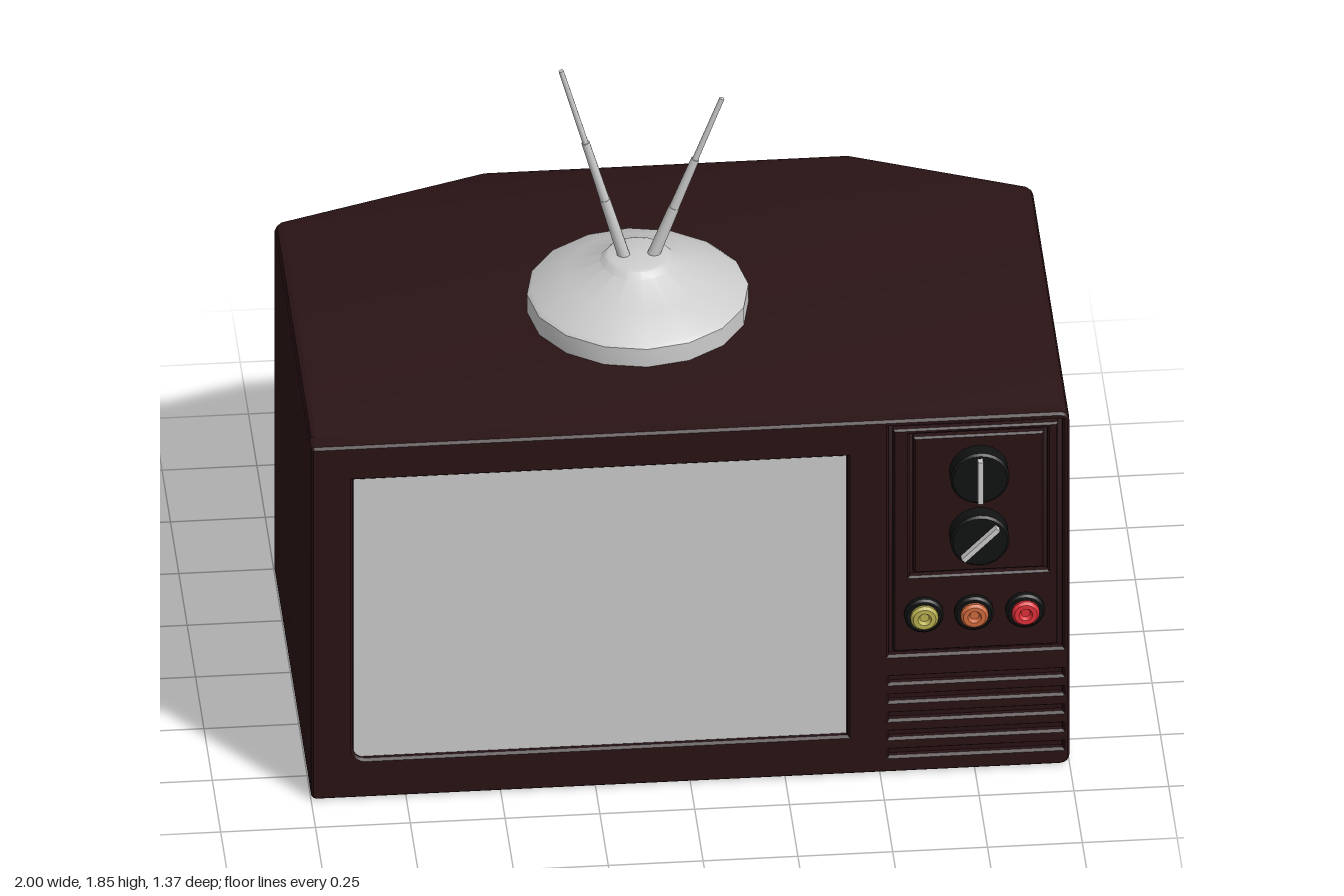
import * as THREE from 'three';
import { toCreasedNormals } from 'three/addons/utils/BufferGeometryUtils.js';

const mat = (color) => new THREE.MeshStandardMaterial({ color });

function add(parent, name, geometry, material, x = 0, y = 0, z = 0) {
  const mesh = new THREE.Mesh(geometry, material);
  mesh.name = name;
  mesh.position.set(x, y, z);
  parent.add(mesh);
  return mesh;
}

// Rectangle with one radius per corner: bottom left, bottom right, top right, top left
function rect(PathType, x0, y0, x1, y1, [bl, br, tr, tl] = [0, 0, 0, 0]) {
  const p = new PathType();
  p.moveTo(x0 + bl, y0);
  p.lineTo(x1 - br, y0);
  if (br) p.quadraticCurveTo(x1, y0, x1, y0 + br);
  p.lineTo(x1, y1 - tr);
  if (tr) p.quadraticCurveTo(x1, y1, x1 - tr, y1);
  p.lineTo(x0 + tl, y1);
  if (tl) p.quadraticCurveTo(x0, y1, x0, y1 - tl);
  p.lineTo(x0, y0 + bl);
  if (bl) p.quadraticCurveTo(x0, y0, x0 + bl, y0);
  return p;
}

// Cabinet: footprint pulled up, with the lower back sloping inwards
function cabinetGeometry() {
  const outline = [[-1, -0.6], [1, -0.6], [1, 0.47], [0.985, 0.49], [0.53, 0.68], [-0.43, 0.68], [-0.985, 0.49], [-1, 0.47]];
  const shape = new THREE.Shape(outline.map(([x, y]) => new THREE.Vector2(x, y)));
  const geo = new THREE.ExtrudeGeometry(shape, {
    depth: 1.06, steps: 2, bevelThickness: 0.02, bevelSize: 0.02, bevelOffset: -0.02, bevelSegments: 2,
  });
  geo.rotateX(-Math.PI / 2).translate(0, 0.02, 0);
  const pos = geo.attributes.position;
  for (let i = 0; i < pos.count; i++) {
    const y = pos.getY(i), z = pos.getZ(i);
    if (z < -0.48 && y < 0.55) pos.setZ(i, -0.48 + (z + 0.48) * (0.7 + 0.3 * y / 0.55));
  }
  return toCreasedNormals(geo, 0.5);
}

// Front plate: screen opening, panel grooves and vent slots are cut through it
function frontGeometry() {
  const shape = rect(THREE.Shape, -1, 0, 1, 1.1, [0.02, 0.03, 0.03, 0.01]);
  shape.holes.push(rect(THREE.Path, -0.89, 0.12, 0.415, 0.995, [0.04, 0, 0, 0]));
  shape.holes.push(rect(THREE.Path, 0.523, 0.365, 0.982, 1.083));
  for (let i = 0; i < 5; i++) {
    const y = 0.06 + i * 0.057;
    shape.holes.push(rect(THREE.Path, 0.525, y - 0.01, 0.982, y + 0.01));
  }
  return toCreasedNormals(new THREE.ExtrudeGeometry(shape, {
    depth: 0.05, bevelThickness: 0.008, bevelSize: 0.006, bevelOffset: -0.006, bevelSegments: 1,
  }).translate(0, 0, 0.562), 0.5);
}

// Raised plate of the control panel, optionally with an opening
function plateGeometry(x0, y0, x1, y1, hole) {
  const shape = rect(THREE.Shape, x0, y0, x1, y1);
  if (hole) shape.holes.push(rect(THREE.Path, ...hole));
  return new THREE.ExtrudeGeometry(shape, {
    depth: 0.014, bevelThickness: 0.006, bevelSize: 0.005, bevelOffset: -0.005, bevelSegments: 1,
  }).translate(0, 0, 0.6);
}

// Turned part from a radius/height profile
const turned = (profile, sides) => toCreasedNormals(
  new THREE.LatheGeometry(profile.map(([r, y]) => new THREE.Vector2(r, y)), sides), 0.45);

// Telescopic rod made of three narrowing tubes
function addRod(parent, name, from, to) {
  const rod = new THREE.Group();
  rod.name = name;
  const dir = to.clone().sub(from), length = dir.length();
  rod.position.copy(from);
  rod.quaternion.setFromUnitVectors(new THREE.Vector3(0, 1, 0), dir.normalize());
  const ends = [0, 0.32, 0.62, 1], radii = [0.017, 0.013, 0.008];
  radii.forEach((r, i) => {
    const h = (ends[i + 1] - ends[i]) * length;
    add(rod, 'rodSection', new THREE.CylinderGeometry(r * 0.85, r, h, 10), mat(0xcccccc), 0, ends[i] * length + h / 2, 0);
  });
  parent.add(rod);
}

export function createModel() {
  const tv = new THREE.Group();
  tv.name = 'television';
  const wood = mat(0x2a1315), black = mat(0x111212), grey = mat(0xcccccc);

  add(tv, 'cabinet', cabinetGeometry(), wood);
  add(tv, 'frontFrame', frontGeometry(), wood);
  add(tv, 'screen', new THREE.BoxGeometry(1.3, 0.87, 0.03), grey, -0.2375, 0.5575, 0.592);

  // Control panel with a second, inner plate behind the knobs
  add(tv, 'controlPanel', plateGeometry(0.535, 0.377, 0.97, 1.071, [0.578, 0.61, 0.942, 1.055]), wood);
  add(tv, 'knobPanel', plateGeometry(0.588, 0.62, 0.932, 1.045), wood);

  // Channel knobs with a raised grip
  [[0.935, 0], [0.74, -Math.PI / 4]].forEach(([y, turn]) => {
    const knob = new THREE.Group();
    knob.name = 'knob';
    knob.position.set(0.76, y, 0.61);
    knob.rotation.z = turn;
    const disc = turned([[0, 0], [0.078, 0], [0.078, 0.05], [0.072, 0.056], [0, 0.056]], 24).rotateX(Math.PI / 2);
    add(knob, 'knobDisc', disc, black);
    add(knob, 'knobGrip', new THREE.BoxGeometry(0.014, 0.13, 0.03), grey, 0, 0, 0.061);
    tv.add(knob);
  });

  // Coloured push buttons, dished in the middle
  [[0.615, 0xb8b050], [0.747, 0xd06a3c], [0.882, 0xe03038]].forEach(([x, color]) => {
    const socket = turned([[0, 0], [0.052, 0], [0.052, 0.026], [0.046, 0.032], [0, 0.032]], 20).rotateX(Math.PI / 2);
    add(tv, 'buttonSocket', socket, black, x, 0.495, 0.607);
    const cap = turned([[0.037, 0], [0.037, 0.012], [0.03, 0.019], [0.018, 0.019], [0.012, 0.009], [0, 0.009]], 20).rotateX(Math.PI / 2);
    add(tv, 'button', cap, mat(color), x, 0.495, 0.634);
  });

  // Aerial on top
  const aerial = new THREE.Group();
  aerial.name = 'aerial';
  add(aerial, 'aerialBase', turned([
    [0, 0], [0.292, 0], [0.292, 0.06], [0.28, 0.07], [0.19, 0.113], [0.1, 0.153], [0.086, 0.168], [0.076, 0.172], [0, 0.172],
  ], 16), grey, -0.085, 1.095, 0.01);
  addRod(aerial, 'longRod', new THREE.Vector3(-0.118, 1.25, 0.01), new THREE.Vector3(-0.287, 1.85, 0.01));
  addRod(aerial, 'shortRod', new THREE.Vector3(-0.048, 1.25, 0.01), new THREE.Vector3(0.137, 1.74, 0.01));
  tv.add(aerial);

  return tv;
}
